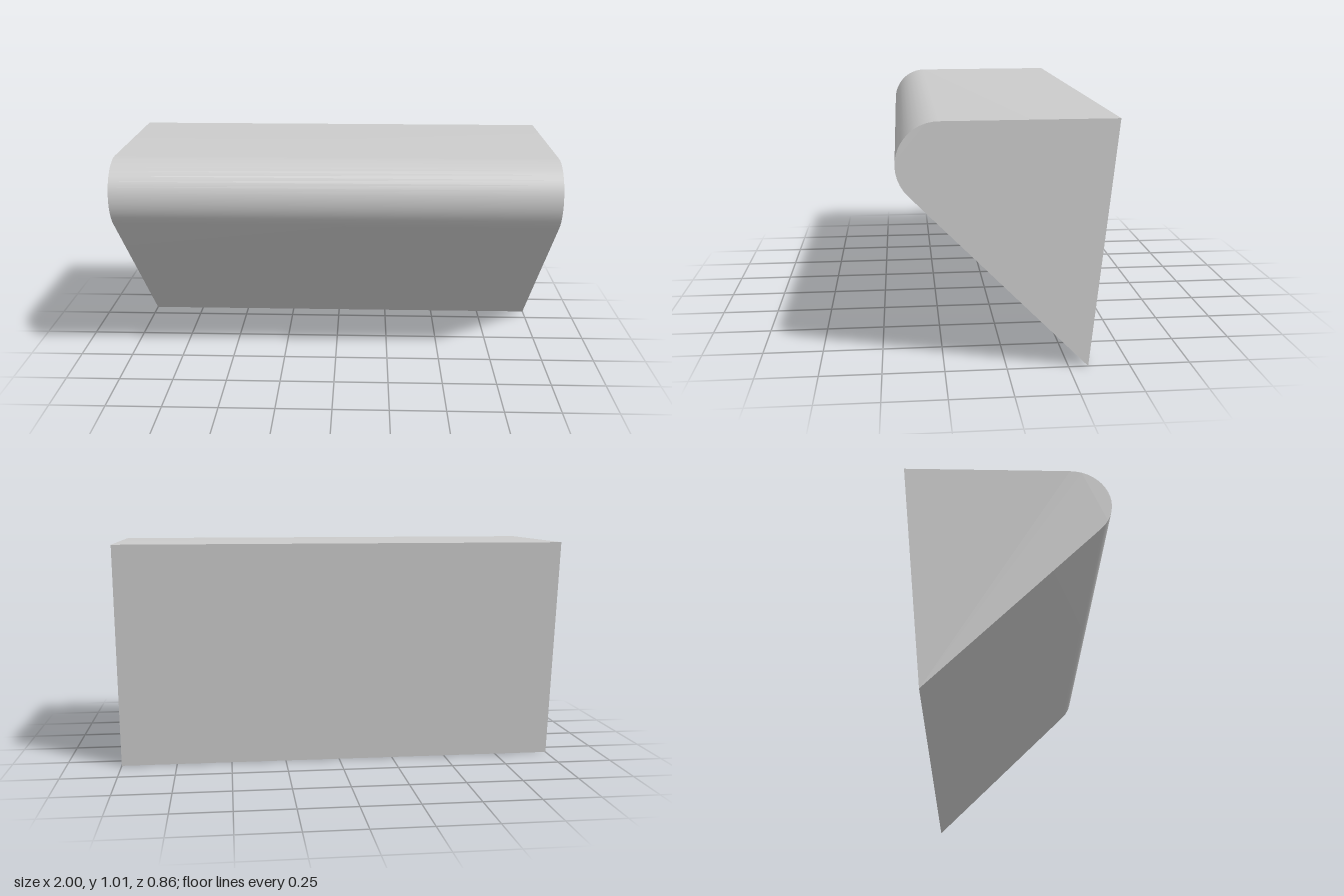
import * as THREE from 'three';
import { toCreasedNormals } from 'three/addons/utils/BufferGeometryUtils.js';

export function createModel() {
  const group = new THREE.Group();
  group.name = 'wedge';

  // Side profile: pointed foot, leaning back, flat top and rounded nose
  const radius = 0.168;
  const profile = new THREE.Shape();
  profile.moveTo(0.33, 0);
  profile.lineTo(0.432, 1.01);
  profile.lineTo(-0.264, 0.84 + radius);
  profile.absarc(-0.264, 0.84, radius, Math.PI / 2, Math.PI * 1.25, false);
  profile.closePath();

  // Run the profile across the full width
  const width = 2;
  const geometry = new THREE.ExtrudeGeometry(profile, {
    depth: width, bevelEnabled: false, curveSegments: 8,
  });
  geometry.translate(0, 0, -width / 2);
  geometry.rotateY(Math.PI / 2);

  const body = new THREE.Mesh(
    toCreasedNormals(geometry, 0.4),
    new THREE.MeshStandardMaterial({ color: 0xcccccc }),
  );
  body.name = 'roundedWedgeBody';
  group.add(body);
  return group;
}
